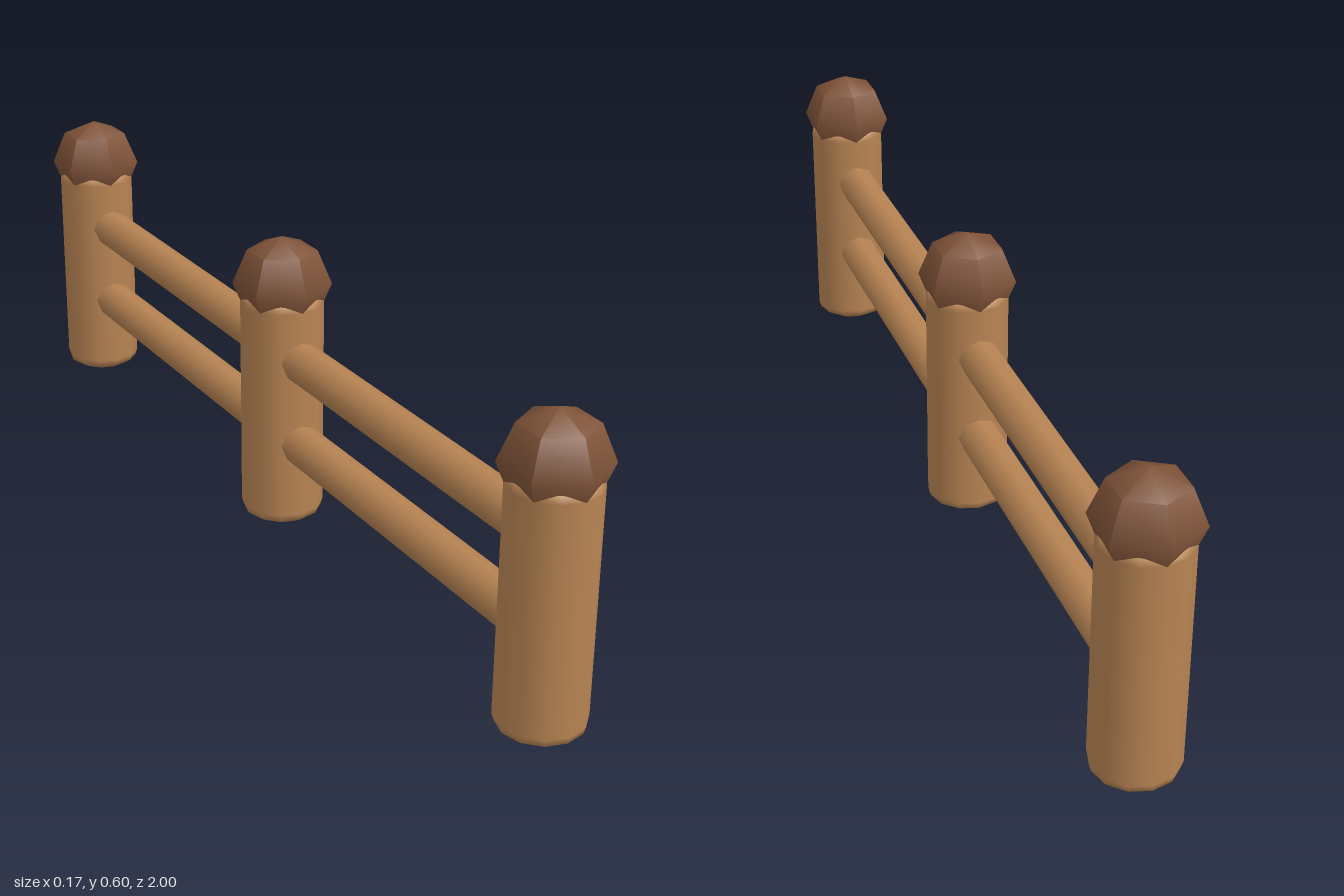
import * as THREE from 'three';
import { toCreasedNormals } from 'three/addons/utils/BufferGeometryUtils.js';

export function createModel() {
  const wood = new THREE.MeshStandardMaterial({ color: 0xb88453 });
  wood.name = 'light wood';
  const darkWood = new THREE.MeshStandardMaterial({ color: 0x7f5338 });
  darkWood.name = 'dark wood';

  const SPACING = 0.902; // distance between posts
  const fence = new THREE.Group();
  fence.name = 'fence';

  // Round post with softened rims at both ends
  const profile = [
    [0, 0], [0.06, 0], [0.079, 0.012], [0.083, 0.026],
    [0.083, 0.464], [0.079, 0.478], [0.06, 0.49], [0, 0.49],
  ].map(([r, y]) => new THREE.Vector2(r, y));
  const postGeometry = new THREE.LatheGeometry(profile, 12);

  // Six-sided knob, corners pointing along the fence, sharp on its side edges
  const capGeometry = toCreasedNormals(
    new THREE.SphereGeometry(0.098, 6, 4).rotateY(Math.PI / 2),
    THREE.MathUtils.degToRad(50),
  );

  for (const i of [-1, 0, 1]) {
    const post = new THREE.Group();
    post.name = 'fencePost';
    const shaft = new THREE.Mesh(postGeometry, wood);
    shaft.name = 'postShaft';
    const cap = new THREE.Mesh(capGeometry, darkWood);
    cap.name = 'postCap';
    cap.position.y = 0.5;
    post.add(shaft, cap);
    post.position.z = i * SPACING;
    fence.add(post);
  }

  // Two rails in each bay, ending inside the posts
  const railGeometry = new THREE.CylinderGeometry(0.041, 0.041, SPACING - 0.06, 8)
    .rotateX(Math.PI / 2);
  for (const side of [-1, 1]) {
    for (const [name, y] of [['lowerRail', 0.181], ['upperRail', 0.36]]) {
      const rail = new THREE.Mesh(railGeometry, wood);
      rail.name = name;
      rail.position.set(0, y, side * SPACING / 2);
      fence.add(rail);
    }
  }
  return fence;
}
